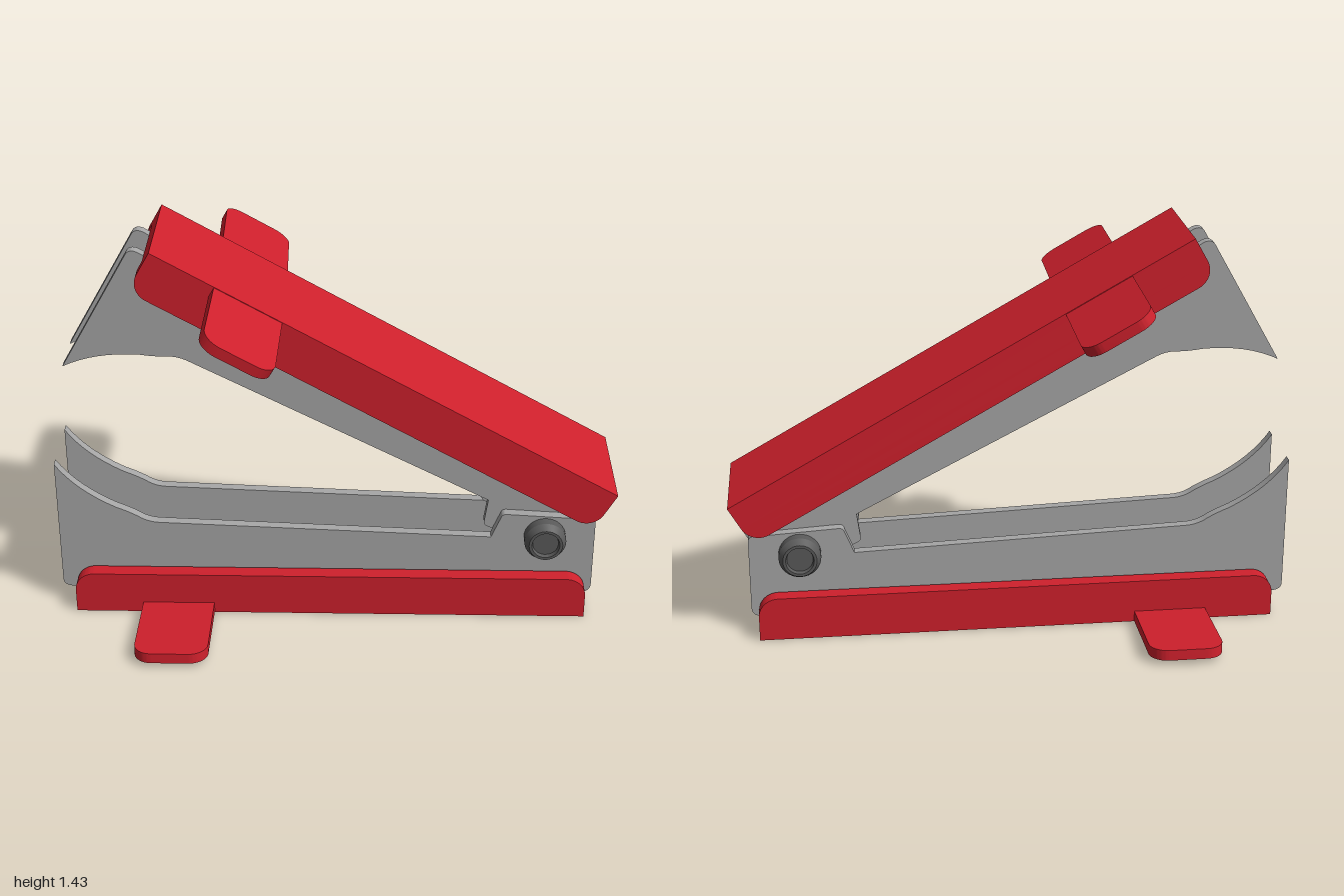
import * as THREE from 'three';
import { toCreasedNormals } from 'three/addons/utils/BufferGeometryUtils.js';

const red = new THREE.MeshStandardMaterial({ color: 0xcf202c });
red.name = 'red plastic';
const steel = new THREE.MeshStandardMaterial({ color: 0xa6a6a6 });
steel.name = 'steel';
const darkSteel = new THREE.MeshStandardMaterial({ color: 0x5a5a5a });
darkSteel.name = 'dark steel';

const PIVOT = { x: 0.755, y: 0.303 };
const X0 = -0.945, X1 = 0.908; // ends of the grip channel

function add(group, name, geometry, material, x = 0, y = 0, z = 0) {
  const mesh = new THREE.Mesh(geometry, material);
  mesh.name = name;
  mesh.position.set(x, y, z);
  group.add(mesh);
  return mesh;
}

// Plate of a given thickness, extruded along z and centred on it
function plate(shape, thickness) {
  const g = new THREE.ExtrudeGeometry(shape, { depth: thickness, bevelEnabled: false, curveSegments: 8 });
  g.translate(0, 0, -thickness / 2);
  return toCreasedNormals(g, 0.5);
}

// Side wall: square at the base, rounded at the free corners
function wallShape() {
  const s = new THREE.Shape(), h = 0.16, r = 0.07;
  s.moveTo(X0, 0);
  s.lineTo(X1, 0);
  s.lineTo(X1, h - r);
  s.absarc(X1 - r, h - r, r, 0, Math.PI / 2);
  s.lineTo(X0 + r, h);
  s.absarc(X0 + r, h - r, r, Math.PI / 2, Math.PI);
  s.closePath();
  return s;
}

// Jaw: hooked claw at one end, pivot lug at the other
function jawShape() {
  const s = new THREE.Shape();
  s.moveTo(-0.97, 0.064);
  s.lineTo(0.905, 0.064);
  s.quadraticCurveTo(0.935, 0.067, 0.935, 0.1);
  s.lineTo(0.935, 0.355);
  s.quadraticCurveTo(0.935, 0.374, 0.915, 0.375);
  s.lineTo(0.615, 0.392);
  s.quadraticCurveTo(0.598, 0.392, 0.594, 0.375);
  s.lineTo(0.562, 0.296);
  s.lineTo(-0.63, 0.342);
  s.quadraticCurveTo(-0.675, 0.343, -0.71, 0.367);
  s.quadraticCurveTo(-0.74, 0.385, -0.79, 0.405);
  s.quadraticCurveTo(-0.93, 0.475, -1, 0.58);
  s.lineTo(-1, 0.09);
  s.quadraticCurveTo(-0.998, 0.067, -0.97, 0.064);
  return s;
}

// Finger tab: flat at the root, rounded at the outer corners
function tabShape(w, l, r) {
  const s = new THREE.Shape();
  s.moveTo(-w / 2, -0.01);
  s.lineTo(w / 2, -0.01);
  s.lineTo(w / 2, l - r);
  s.absarc(w / 2 - r, l - r, r, 0, Math.PI / 2);
  s.lineTo(-w / 2 + r, l);
  s.absarc(-w / 2 + r, l - r, r, Math.PI / 2, Math.PI);
  s.closePath();
  return s;
}

// One half of the tool, lying on its back with the claw pointing up
function makeHalf(name, jawZ) {
  const half = new THREE.Group();
  half.name = name;
  add(half, 'gripFloor', new THREE.BoxGeometry(X1 - X0, 0.062, 0.34), red, (X0 + X1) / 2, 0.031, 0);
  const wall = plate(wallShape(), 0.055);
  const jaw = plate(jawShape(), 0.036);
  const tab = plate(tabShape(0.26, 0.35, 0.065), 0.038);
  for (const side of [1, -1]) {
    add(half, 'gripWall', wall, red, 0, 0, side * 0.1835);
    add(half, 'jaw', jaw, steel, 0, 0, side * jawZ);
    // Tabs lie flat and tilt slightly toward the claw at the tip
    const mount = new THREE.Group();
    mount.name = 'fingerTab';
    mount.position.set(-0.57, 0.021, side * 0.208);
    mount.rotation.y = side > 0 ? 0 : Math.PI;
    add(mount, 'tabPlate', tab, red).rotation.x = Math.PI / 2 - 0.058;
    half.add(mount);
  }
  return half;
}

export function createModel() {
  const model = new THREE.Group();
  model.name = 'stapleRemover';

  model.add(makeHalf('lowerHalf', 0.126));

  // Upper half: the same shape turned over and swung open about the pivot
  const upper = makeHalf('upperHalf', 0.087);
  upper.position.set(-PIVOT.x - 0.047, -PIVOT.y, 0);
  const flip = new THREE.Group();
  flip.name = 'upperFlip';
  flip.rotation.x = Math.PI;
  flip.add(upper);
  const swing = new THREE.Group();
  swing.name = 'upperSwing';
  swing.position.set(PIVOT.x, PIVOT.y, 0);
  swing.rotation.z = -THREE.MathUtils.degToRad(29.6);
  swing.add(flip);
  model.add(swing);

  // Pivot pin with flared collars and recessed ends
  const end = [[0, 0.195], [0.046, 0.195], [0.05, 0.21], [0.06, 0.21], [0.075, 0.182], [0.075, 0.146], [0.069, 0.146]];
  const profile = [
    ...end.map(([r, z]) => new THREE.Vector2(r, -z)),
    ...end.slice().reverse().map(([r, z]) => new THREE.Vector2(r, z)),
  ];
  const pin = toCreasedNormals(new THREE.LatheGeometry(profile, 32), 0.4);
  add(model, 'pivotPin', pin, darkSteel, PIVOT.x, PIVOT.y, 0).rotation.x = Math.PI / 2;

  return model;
}
